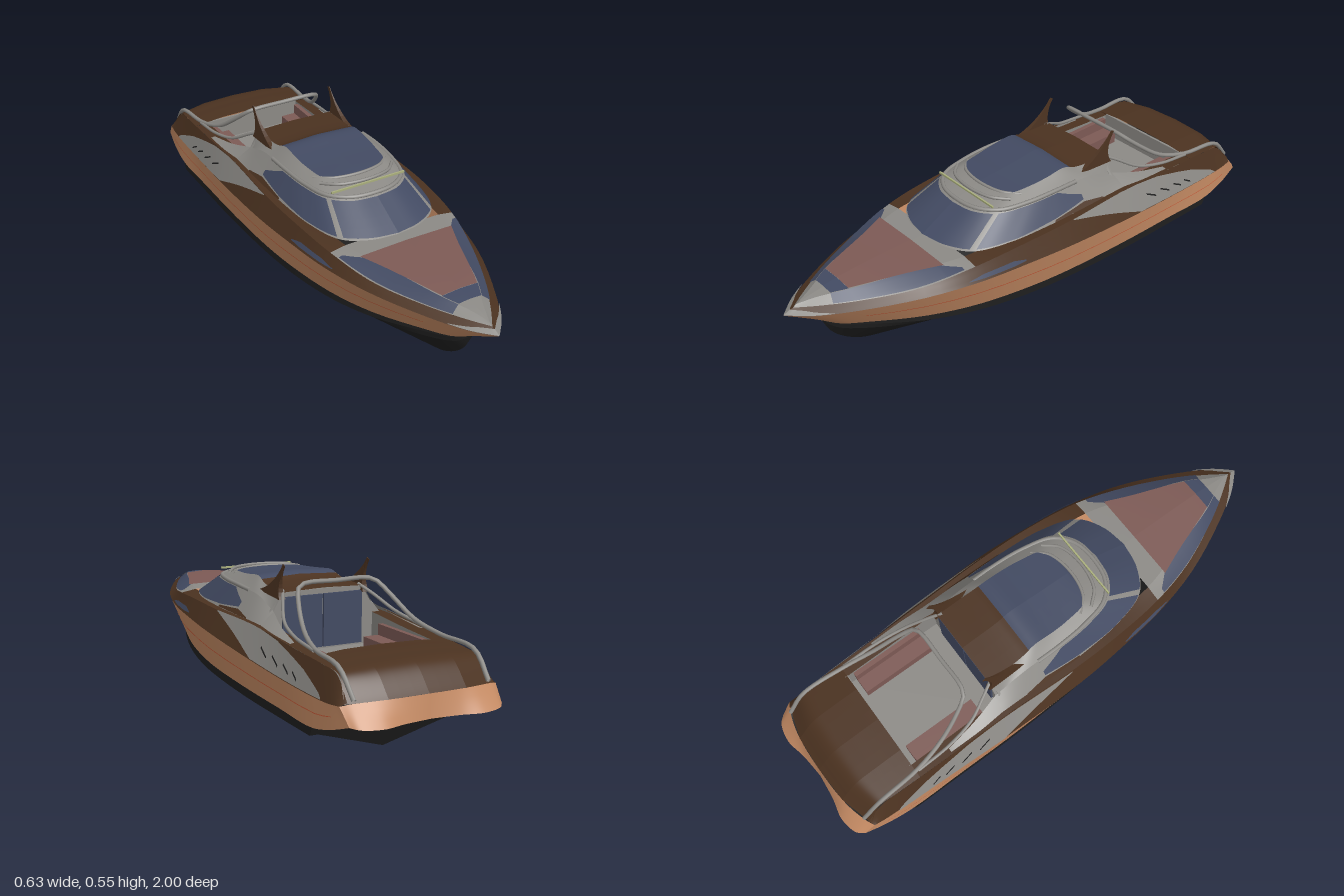
import * as THREE from 'three';

const mat = (name, color) => Object.assign(new THREE.MeshStandardMaterial({ color, side: THREE.DoubleSide }), { name });
const M = {
  tan: mat('copperHull', 0xc48a63), brown: mat('darkBrown', 0x4b3220), black: mat('bottomBlack', 0x1f1f1f),
  gray: mat('warmGray', 0x8b8985), navy: mat('tintedGlass', 0x424a62), rose: mat('roseUpholstery', 0x7d5a55),
  red: mat('stripeRed', 0xcc5a38), lime: mat('paleLime', 0xa9ae7c),
};

export function createModel() {
  const root = new THREE.Group();
  const line = (pts) => new THREE.CatmullRomCurve3(pts.map((p) => new THREE.Vector3(...p)));
  const last = (l) => l.points.length - 1;
  const at = (l, u) => l.getPoint(Math.min(1, Math.max(0, u / last(l))));
  const add = (name, m, geo) => {
    const mesh = new THREE.Mesh(geo, m);
    mesh.name = name;
    root.add(mesh);
    return mesh;
  };

  // Grid of points f(i, j), built for the left side and mirrored to the right
  function grid(name, m, f, nu, nv) {
    for (const s of [1, -1]) {
      const pos = [], idx = [];
      for (let i = 0; i <= nu; i++) for (let j = 0; j <= nv; j++) {
        const p = f(i, j);
        pos.push(s * p.x, p.y, p.z);
        if (i < nu && j < nv) {
          const a = i * (nv + 1) + j, b = a + nv + 1;
          if (s > 0) idx.push(a, b, a + 1, b, b + 1, a + 1);
          else idx.push(a, a + 1, b, b, a + 1, b + 1);
        }
      }
      const g = new THREE.BufferGeometry();
      g.setAttribute('position', new THREE.Float32BufferAttribute(pos, 3));
      g.setIndex(idx);
      g.computeVertexNormals();
      add(name + (s > 0 ? 'Left' : 'Right'), m, g);
    }
  }
  // Ruled skin between neighbouring lines, with a crease at every line
  function loft(name, m, lines, u0 = 0, u1 = last(lines[0])) {
    for (let k = 0; k + 1 < lines.length; k++) {
      grid(name, m, (i, j) => {
        const u = u0 + (u1 - u0) * i / 40;
        return at(lines[k], u).lerp(at(lines[k + 1], u), j / 3);
      }, 40, 3);
    }
  }
  // Thin plate lying on the skin between lines a and b; stations are [u, v0, v1]
  function patch(name, m, a, b, st, off = 0.004) {
    const S = (u, v) => at(a, u).lerp(at(b, u), v);
    const seg = 8;
    grid(name, m, (i, j) => {
      const k = Math.min(st.length - 2, Math.floor(i / seg)), t = i / seg - k;
      const [u, v0, v1] = st[k].map((x, n) => x + (st[k + 1][n] - x) * t);
      const v = v0 + (v1 - v0) * j / 4, p = S(u, v);
      const n = S(u + 0.02, v).sub(S(u - 0.02, v)).cross(S(u, v + 0.02).sub(S(u, v - 0.02))).normalize();
      if (n.x * p.x + n.y * (p.y - 0.1) < 0) n.negate();
      p.addScaledVector(n, off);
      if (p.x < 0.003) p.x = 0;
      return p;
    }, seg * (st.length - 1), 4);
  }
  const tube = (name, m, pts, r) => add(name, m, new THREE.TubeGeometry(line(pts), 48, r, 8));
  const box = (name, m, w, h, d, x, y, z) => add(name, m, new THREE.BoxGeometry(w, h, d)).position.set(x, y, z);
  const flip = (pts) => pts.map(([x, y, z]) => [-x, y, z]);

  // Hull bottom: keel, inner chine, outer chine, waterline
  const waterPts = [[0, .205, .87], [.045, .195, .83], [.1, .182, .73], [.175, .16, .56], [.228, .143, .38], [.262, .133, .19],
    [.283, .128, 0], [.294, .124, -.3], [.294, .121, -.55], [.294, .12, -.7], [.294, .12, -.77]];
  const water = line(waterPts);
  const drop = [0, .004, .01, .02, .026, .03, .03, .032, .031, .03, .03];
  const outer = line(waterPts.map(([x, y, z], i) => [x, y - drop[i], i === 10 ? -.755 : z]));
  const inner = line([[0, .205, .87], [.035, .175, .835], [.085, .155, .75], [.155, .13, .58], [.205, .112, .38], [.236, .1, .19],
    [.254, .094, 0], [.264, .09, -.3], [.265, .09, -.55], [.265, .09, -.7], [.265, .09, -.755]]);
  const keel = line([[0, .205, .87], [0, .14, .84], [0, .085, .79], [0, .035, .71], [0, .008, .6], [0, .001, .45],
    [0, 0, .2], [0, 0, -.1], [0, 0, -.4], [0, 0, -.6], [0, 0, -.71]]);
  loft('hullBottom', M.black, [keel, inner, outer, water]);
  grid('transom', M.black, (i, j) => {
    const p = at([keel, inner, outer, water][i], 10);
    return p.setX(p.x * (1 - j));
  }, 3, 1);

  // Hull sides with a pinstripe
  const side = line([...waterPts.slice(0, 9), [.294, .12, -.77], [.287, .145, -.88], [.275, .172, -.96]]);
  const sheer = line([[0, .295, 1], [.062, .293, .93], [.137, .292, .8], [.225, .29, .6], [.277, .285, .4], [.302, .278, .2],
    [.316, .268, 0], [.312, .245, -.3], [.297, .222, -.6], [.29, .217, -.8], [.287, .22, -.87], [.283, .225, -.915]]);
  loft('hullSide', M.tan, [side, sheer]);
  patch('pinstripe', M.red, side, sheer, [[2, .55, .58], [6, .5, .525], [10, .5, .53]], 0.002);

  // Stern panel and the underside of its overhang
  const sternTop = line([[0, .24, -.963], [.1, .239, -.96], [.18, .237, -.95], [.25, .232, -.93], [.283, .225, -.915]]);
  const sternLow = line([[0, .165, -.975], [.1, .165, -.985], [.18, .165, -1], [.25, .168, -.985], [.275, .172, -.96]]);
  const sternRoot = line([0, .1, .18, .25, .294].map((x) => [x, .12, -.77]));
  loft('sternPanel', M.tan, [sternTop, sternLow]);
  loft('sternUnderside', M.black, [sternLow, sternRoot]);

  // Bulwark with bow cap, swooping side panel, vents and side windows
  const coaming = line([[0, .31, .965], [.045, .31, .9], [.115, .31, .78], [.2, .314, .59], [.25, .335, .4], [.272, .345, .2],
    [.278, .345, 0], [.268, .345, -.3], [.262, .325, -.6], [.258, .315, -.78], [.255, .305, -.85], [.262, .235, -.925]]);
  loft('bulwark', M.brown, [sheer, coaming]);
  patch('bowCap', M.gray, sheer, coaming, [[0, 0, .7], [.7, 0, .5], [1.5, 0, .05]]);
  patch('sidePanel', M.gray, sheer, coaming, [[6.1, .97, 1], [7.2, .03, 1], [7.6, .03, .95], [8.4, .03, .6], [9.2, .03, .06]]);
  for (let i = 0; i < 4; i++) {
    const u = 7.35 + i * .26;
    patch('vent', M.black, sheer, coaming, [[u, .5 - i * .05, .56 - i * .05], [u + .16, .3 - i * .04, .36 - i * .04]], 0.006);
  }
  patch('sideWindow', M.navy, sheer, coaming, [[3.8, .2, .25], [4.1, .15, .42], [4.7, .15, .42], [4.95, .2, .25]]);

  // Foredeck with wraparound glass and sunpad
  const deckMid = line([[0, .318, .95], [.025, .328, .885], [.075, .338, .78], [.135, .343, .59], [.19, .345, .4],
    [.2, .345, .2], [.2, .345, 0], [.2, .345, -.3]]);
  const deckCentre = line([[0, .318, .95], [0, .33, .885], [0, .342, .78], [0, .347, .59], [0, .347, .4],
    [0, .345, .2], [0, .345, 0], [0, .345, -.3]]);
  loft('foredeck', M.gray, [coaming, deckMid, deckCentre], 0, 4);
  loft('sideDeck', M.brown, [coaming, deckMid], 4, 7);
  patch('deckGlass', M.navy, coaming, deckMid, [[1.4, .05, 1], [3.45, .05, 1], [3.8, .05, .3]]);
  patch('bowGlass', M.navy, deckMid, deckCentre, [[1.4, 0, 1], [1.9, 0, 1]]);
  patch('sunpad', M.rose, deckMid, deckCentre, [[1.9, .03, 1], [3.55, -.1, 1]], 0.005);

  // Cabin walls and windows
  const wallLow = line([[0, .345, .44], [.1, .345, .42], [.19, .345, .36], [.235, .345, .22], [.25, .345, .05],
    [.253, .345, -.12], [.252, .345, -.22], [.25, .345, -.32]]);
  const wallTopPts = [[0, .432, .28], [.09, .432, .265], [.155, .432, .21], [.185, .432, .1], [.195, .432, -.02],
    [.195, .428, -.12], [.195, .42, -.2], [.195, .385, -.31]];
  const wallTop = line(wallTopPts);
  loft('cabinWall', M.gray, [wallLow, wallTop]);
  patch('windshield', M.navy, wallLow, wallTop, [[0, .04, .9], [1.85, .04, .9]]);
  patch('cabinWindow', M.navy, wallLow, wallTop, [[2.05, .04, .9], [3.1, .04, .9], [4.1, .12, .9], [5, .3, .5]]);
  patch('quarterPanel', M.brown, wallLow, wallTop, [[4.1, .01, .08], [5, .01, .22], [5.9, .01, .06]], 0.003);

  // Roof with visor rim, skylight and brown aft section
  const roofMid = line([[0, .458, .17], [.07, .458, .165], [.125, .458, .14], [.145, .462, .05], [.15, .468, -.02],
    [.15, .474, -.1], [.155, .456, -.16], [.16, .448, -.31]]);
  const roofCentre = line([[0, .458, .17], [0, .46, .165], [0, .463, .14], [0, .469, .05], [0, .475, -.02],
    [0, .482, -.1], [0, .463, -.16], [0, .453, -.31]]);
  loft('roof', M.gray, [wallTop, roofMid]);
  loft('skylight', M.navy, [roofMid, roofCentre], 0, 5.5);
  loft('aftRoof', M.brown, [roofMid, roofCentre], 5.5, 7);
  const rim = wallTopPts.slice(0, 6);
  tube('visorRim', M.gray, [...flip(rim).reverse(), ...rim.slice(1)], 0.008);
  for (const z of [.225, .175]) {
    tube('roofBar', M.gray, [[-.15, .45, z - .07], [-.1, .456, z - .02], [0, .458, z], [.1, .456, z - .02], [.15, .45, z - .07]], 0.006);
  }
  box('lightStrip', M.lime, .3, .007, .006, 0, .452, .236);

  // Aft bulkhead with glass doors
  const wall = new THREE.Shape([[-.235, .23], [.235, .23], [.235, .345], [.19, .4], [.155, .448], [-.155, .448], [-.19, .4], [-.235, .345]]
    .map((p) => new THREE.Vector2(...p)));
  add('aftBulkhead', M.gray, new THREE.ExtrudeGeometry(wall, { depth: .01, bevelEnabled: false })).position.z = -.3;
  for (const s of [-1, 1]) box('glassDoor', M.navy, .155, .19, .008, s * .08, .335, -.304);

  // Buttresses sweeping down to the cockpit coaming
  loft('buttress', M.gray, [line([[.25, .345, -.32], [.256, .338, -.42], [.255, .33, -.55]]),
    line([[.195, .385, -.31], [.22, .355, -.42], [.24, .333, -.55]])]);

  // Cockpit: coaming, inner walls, floor, seats
  const rail = line([[.268, .345, -.3], [.264, .332, -.5], [.26, .32, -.69]]);
  const lip = line([[.205, .345, -.3], [.205, .33, -.5], [.205, .32, -.69]]);
  loft('cockpitCoaming', M.brown, [rail, lip]);
  loft('cockpitWall', M.gray, [lip, line([[.205, .23, -.3], [.205, .23, -.5], [.205, .23, -.69]])]);
  box('cockpitFloor', M.gray, .41, .01, .4, 0, .228, -.495);
  box('cockpitAftWall', M.gray, .41, .1, .01, 0, .275, -.692);
  for (const s of [-1, 1]) {
    box('seat', M.rose, .075, .045, .29, s * .163, .255, -.52);
    box('seatBack', M.rose, .018, .085, .29, s * .194, .275, -.52);
  }

  // Aft sunpad deck
  loft('aftDeck', M.brown, [
    line([[.26, .32, -.69], [.257, .314, -.79], [.254, .303, -.86], [.27, .23, -.92]]),
    line([[.14, .331, -.69], [.14, .326, -.79], [.14, .313, -.88], [.14, .238, -.957]]),
    line([[0, .334, -.69], [0, .33, -.79], [0, .316, -.885], [0, .24, -.963]])]);

  // Tapered roof fins
  const fin = new THREE.Shape();
  fin.moveTo(.15, .435);
  fin.quadraticCurveTo(.26, .46, .325, .55);
  fin.lineTo(.338, .543);
  fin.quadraticCurveTo(.285, .47, .32, .425);
  for (const s of [-1, 1]) {
    const g = new THREE.ExtrudeGeometry(fin, { depth: .024, bevelEnabled: false, curveSegments: 8 });
    g.translate(0, 0, -.012).rotateY(Math.PI / 2);
    const p = g.attributes.position;
    for (let i = 0; i < p.count; i++) {
      const k = Math.max(.1, Math.pow(Math.max(0, (.555 - p.getY(i)) / .125), 1.4));
      p.setX(i, p.getX(i) * k + s * .166);
    }
    g.computeVertexNormals();
    add('roofFin', M.brown, g);
  }

  // Cockpit hoop and lower handrails
  const hoop = [[0, .493, -.4], [.12, .493, -.4], [.15, .483, -.41], [.178, .44, -.46], [.21, .37, -.56],
    [.235, .338, -.68], [.247, .322, -.85], [.243, .24, -.93]];
  tube('cockpitHoop', M.gray, [...flip(hoop).reverse(), ...hoop.slice(1)], 0.008);
  const low = [[.15, .452, -.29], [.18, .42, -.35], [.215, .375, -.43], [.235, .35, -.54], [.24, .335, -.68]];
  tube('handrailLeft', M.gray, low, 0.006);
  tube('handrailRight', M.gray, flip(low), 0.006);

  return root;
}
